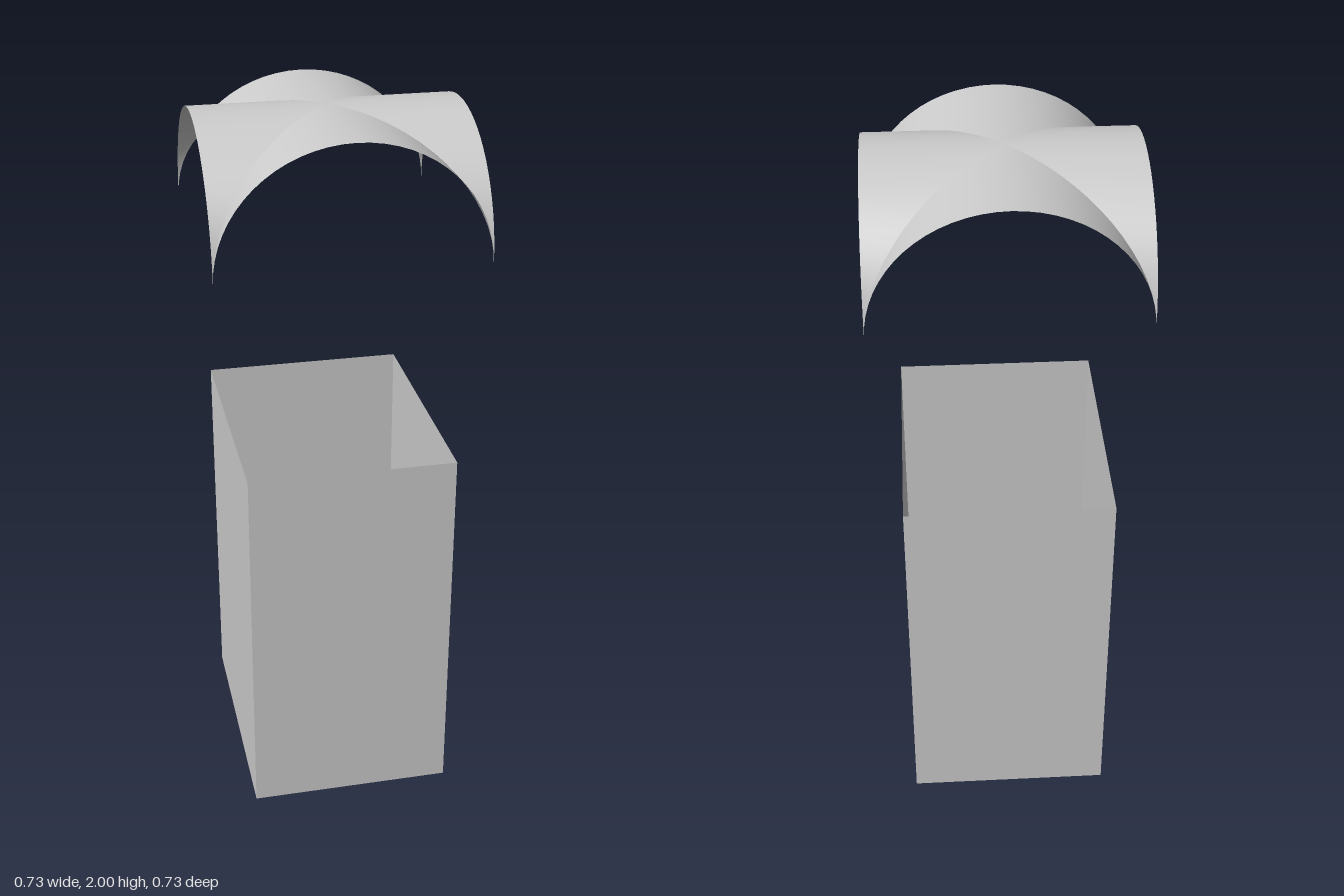
import * as THREE from 'three';

const HALF = 0.363;          // half width of the vault and depth of the box
const SPRING = 1.657;        // height of the vault's four feet
const RISE = 2 - SPRING;

const material = new THREE.MeshStandardMaterial({ color: 0xcccccc, side: THREE.DoubleSide });

// One quarter of the vault: a piece of barrel between two diagonal creases and its arch
function vaultPanelGeometry() {
  const geometry = new THREE.PlaneGeometry(2, 1, 32, 1);
  const p = geometry.attributes.position;
  for (let i = 0; i < p.count; i++) {
    const angle = p.getX(i) * Math.PI / 2;
    const x = HALF * Math.sin(angle);
    const z = p.getY(i) > 0 ? Math.abs(x) : HALF;
    p.setXYZ(i, x, SPRING + RISE * Math.cos(angle), z);
  }
  geometry.computeVertexNormals();
  return geometry;
}

function wall(name, width, height, position, rotation) {
  const mesh = new THREE.Mesh(new THREE.PlaneGeometry(width, height), material);
  mesh.name = name;
  mesh.position.set(...position);
  mesh.rotation.set(...rotation);
  return mesh;
}

export function createModel() {
  const model = new THREE.Group();
  model.name = 'vaultOverOpenBox';

  // Groin vault floating above the box
  const vault = new THREE.Group();
  vault.name = 'groinVault';
  const panel = vaultPanelGeometry();
  ['frontPanel', 'leftPanel', 'backPanel', 'rightPanel'].forEach((name, i) => {
    const mesh = new THREE.Mesh(panel, material);
    mesh.name = name;
    mesh.rotation.y = i * Math.PI / 2;
    vault.add(mesh);
  });
  model.add(vault);

  // Thin-walled box, open at the top
  const box = new THREE.Group();
  box.name = 'openBox';
  const w = 0.29, d = HALF, h = 1.087, q = Math.PI / 2;
  box.add(
    wall('frontWall', 2 * w, h, [0, h / 2, d], [0, 0, 0]),
    wall('backWall', 2 * w, h, [0, h / 2, -d], [0, 2 * q, 0]),
    wall('leftWall', 2 * d, h, [w, h / 2, 0], [0, q, 0]),
    wall('rightWall', 2 * d, h, [-w, h / 2, 0], [0, -q, 0]),
    wall('floor', 2 * w, 2 * d, [0, 0, 0], [q, 0, 0]),
  );
  model.add(box);

  return model;
}
